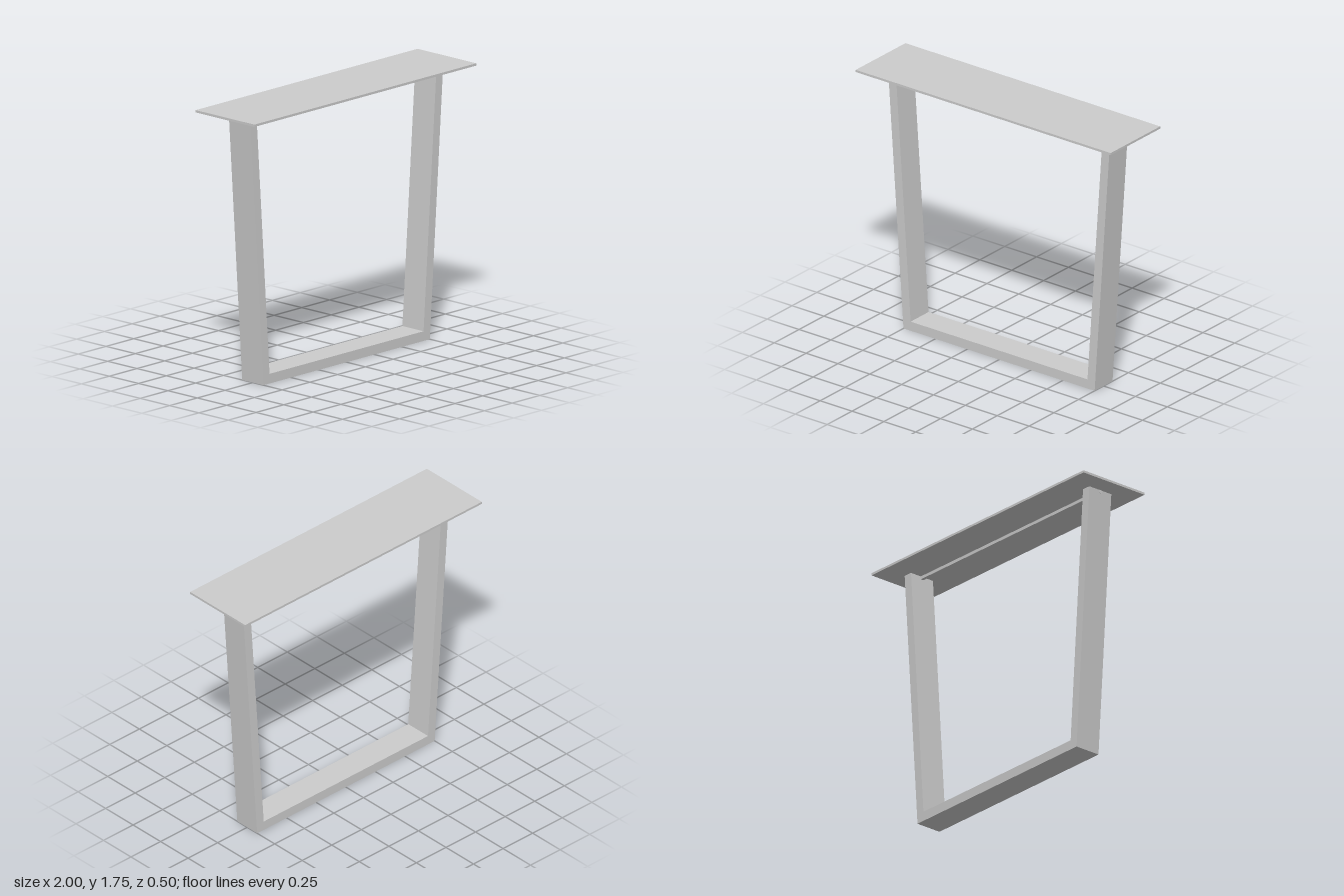
import * as THREE from 'three';

const material = new THREE.MeshStandardMaterial({ color: 0xcccccc, flatShading: true });

function addPart(group, name, geometry, y = 0) {
  const mesh = new THREE.Mesh(geometry, material);
  mesh.name = name;
  mesh.position.y = y;
  group.add(mesh);
}

export function createModel() {
  const group = new THREE.Group();
  group.name = 'tableLegFrame';
  const plateBottom = 1.735, plateTop = 1.75, depth = 0.18;

  // U-shaped frame: a flat foot bar with two legs splaying outward
  const halfProfile = [[0.75, 0], [0.871, plateBottom], [0.811, plateBottom], [0.694, 0.062]];
  const mirrored = halfProfile.map(([x, y]) => [-x, y]).reverse();
  const outline = [...halfProfile, ...mirrored].map(([x, y]) => new THREE.Vector2(x, y));
  const frame = new THREE.ExtrudeGeometry(new THREE.Shape(outline), { depth, bevelEnabled: false });
  frame.translate(0, 0, -depth / 2);
  addPart(group, 'legFrame', frame);

  // Thin stiffening rail under the plate, running through both legs
  addPart(group, 'stiffenerRail', new THREE.BoxGeometry(1.746, 0.02, 0.02), plateBottom - 0.01);

  // Mounting plate
  addPart(group, 'mountingPlate', new THREE.BoxGeometry(2, plateTop - plateBottom, 0.5),
    (plateTop + plateBottom) / 2);

  return group;
}
